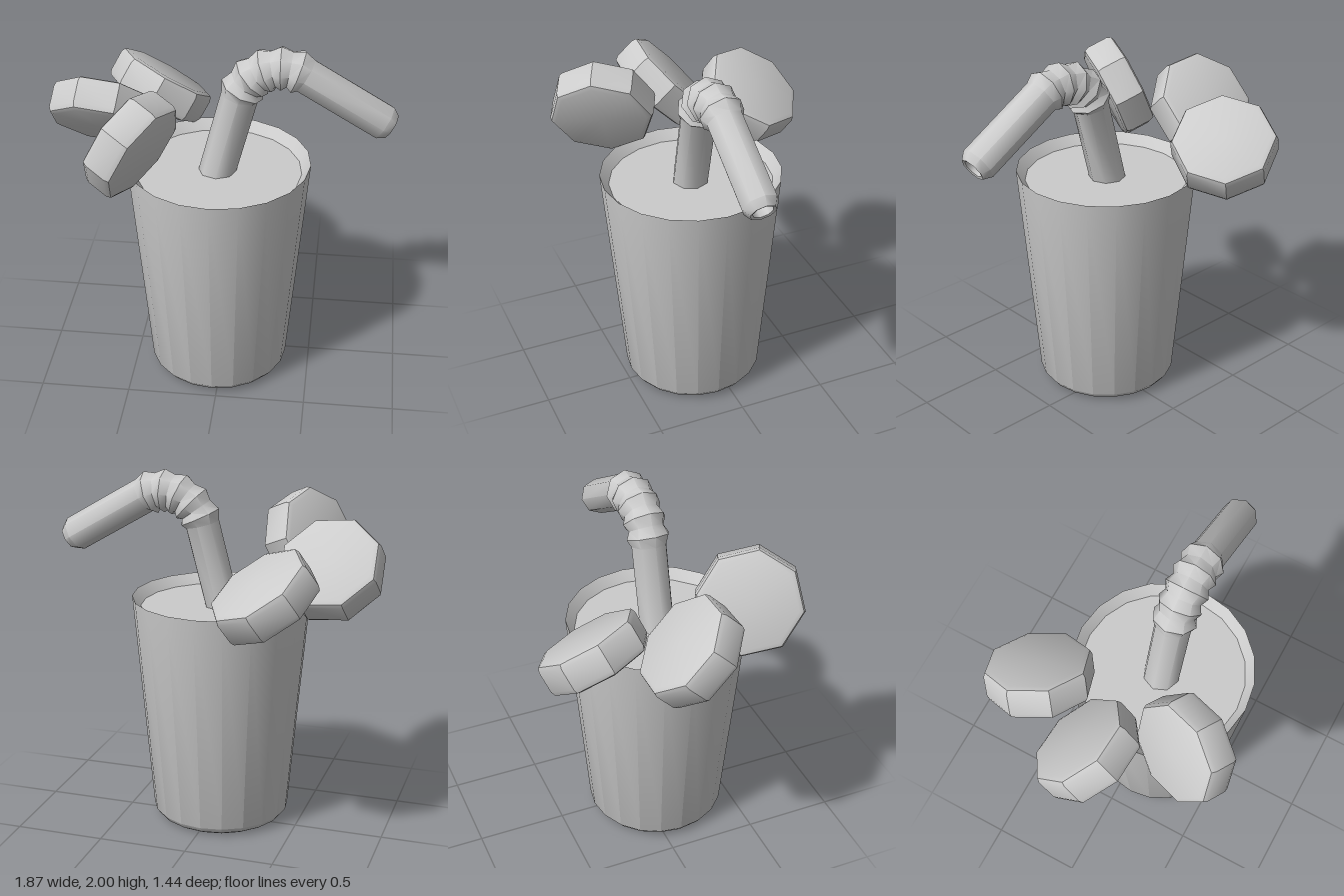
import * as THREE from 'three';
import { toCreasedNormals } from 'three/addons/utils/BufferGeometryUtils.js';

const material = new THREE.MeshStandardMaterial({ color: 0xcccccc });

function addMesh(parent, name, geometry, crease) {
  const mesh = new THREE.Mesh(toCreasedNormals(geometry, crease), material);
  mesh.name = name;
  parent.add(mesh);
  return mesh;
}

function lathe(points, segments) {
  return new THREE.LatheGeometry(points.map(([r, y]) => new THREE.Vector2(r, y)), segments);
}

// Eight-sided tube through stations { x, y, angle, r } lying in the xy plane
function sweep(stations, sides) {
  const positions = [];
  const index = [];
  stations.forEach(({ x, y, angle, r }, i) => {
    for (let j = 0; j < sides; j++) {
      const a = (j / sides) * Math.PI * 2;
      const n = r * Math.cos(a);
      positions.push(x - Math.sin(angle) * n, y + Math.cos(angle) * n, r * Math.sin(a));
      if (i + 1 < stations.length) {
        const k = (j + 1) % sides;
        const p = i * sides + j;
        const q = i * sides + k;
        index.push(p, q, p + sides, q, q + sides, p + sides);
      }
    }
  });
  const geometry = new THREE.BufferGeometry();
  geometry.setAttribute('position', new THREE.Float32BufferAttribute(positions, 3));
  geometry.setIndex(index);
  return geometry;
}

function strawGeometry() {
  const R = 0.1;
  const start = THREE.MathUtils.degToRad(75.5);
  const end = THREE.MathUtils.degToRad(-30.7);
  const bend = { x: 0.308, y: 1.652, r: 0.23 };
  const onBend = (t, r) => {
    const angle = THREE.MathUtils.lerp(start, end, t);
    return {
      x: bend.x - Math.sin(angle) * bend.r,
      y: bend.y + Math.cos(angle) * bend.r,
      angle, r,
    };
  };
  const along = (s, d, r) => ({
    x: s.x + Math.cos(s.angle) * d, y: s.y + Math.sin(s.angle) * d, angle: s.angle, r,
  });

  // Lower stem, bellows, then the straight mouthpiece
  const stations = [along(onBend(0, R), -0.52, R)];
  const folds = 5;
  for (let i = 0; i < folds; i++) {
    stations.push(onBend(i / folds, R), onBend((i + 0.5) / folds, 0.122));
  }
  const elbow = onBend(1, R);
  stations.push(elbow);

  // Chamfered lip and the recessed hole: distance along, radius
  const lip = [[0.49, R], [0.535, 0.072], [0.53, 0.056], [0.4, 0.056], [0.4, 0]];
  lip.forEach(([d, r]) => stations.push(along(elbow, d, r)));
  return sweep(stations, 8);
}

export function createModel() {
  const model = new THREE.Group();
  model.name = 'drinkWithStraw';

  // Tapered cup with a thin rim
  const drink = new THREE.Group();
  drink.name = 'drink';
  drink.position.set(-0.025, 0, 0.09);
  model.add(drink);
  addMesh(drink, 'cup', lathe([
    [0, 0], [0.335, 0], [0.365, 0.018], [0.39, 0.05], [0.5, 1.31], [0.45, 1.25],
  ], 20), 0.6);

  // Drink surface just under the rim
  addMesh(drink, 'liquidSurface', lathe([[0.452, 1.252], [0, 1.252]], 20), 0.6);

  // Bendy straw
  addMesh(model, 'straw', strawGeometry(), 0.8).position.z = 0.09;

  // Three floating eight-sided slabs with rounded edges
  const R = 0.29, H = 0.095, B = 0.035, C = B * 0.29;
  const slab = lathe([
    [0, -H], [R - B, -H], [R - C, -H + C], [R, -H + B],
    [R, H - B], [R - C, H - C], [R - B, H], [0, H],
  ], 8);
  const slabs = [
    ['backSlab', [-0.42, 1.48, -0.43], [0.46, 0.82, -0.34], 0],
    ['sideSlab', [-0.672, 1.533, 0], [0.1, 0.68, -0.7], 0.39],
    ['frontSlab', [-0.44, 1.58, 0.44], [-0.82, 0.4, -0.41], 0.2],
  ];
  const up = new THREE.Vector3(0, 1, 0);
  for (const [name, position, normal, spin] of slabs) {
    const mesh = addMesh(model, name, slab, 0.7);
    mesh.position.set(...position);
    mesh.quaternion.setFromUnitVectors(up, new THREE.Vector3(...normal).normalize());
    mesh.rotateY(spin);
  }
  return model;
}
